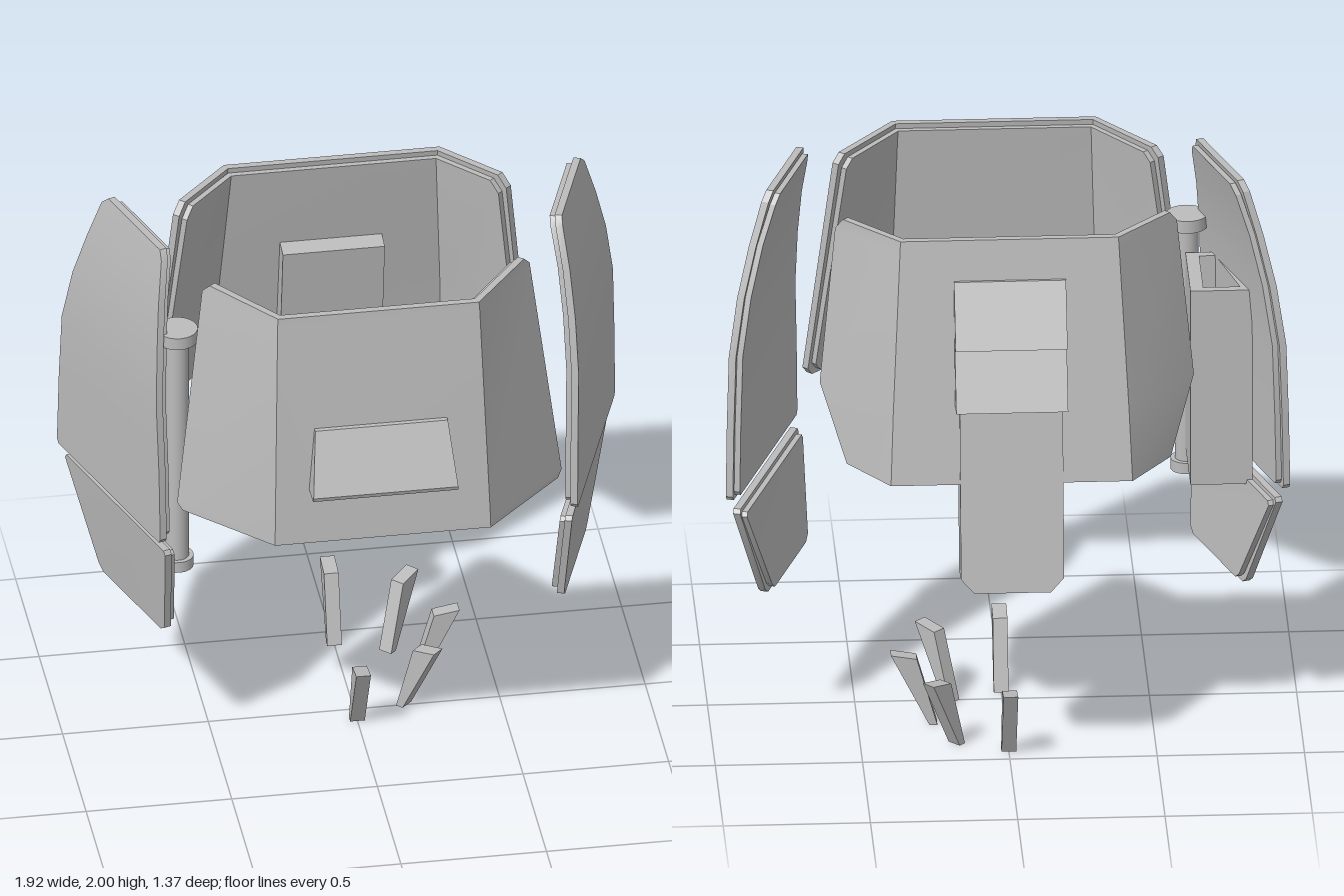
import * as THREE from 'three';
import { toCreasedNormals } from 'three/addons/utils/BufferGeometryUtils.js';

const grey = new THREE.MeshStandardMaterial({ color: 0xbcbcbc });
grey.name = 'armour grey';

function add(parent, name, geometry) {
  const mesh = new THREE.Mesh(geometry, grey);
  mesh.name = name;
  parent.add(mesh);
  return mesh;
}

// Closed solid through stacked loops; each loop runs along the outside and back along the inside
function loft(loops) {
  const pos = [];
  const quad = (a, b, c, d) => [a, b, c, a, c, d].forEach((p) => pos.push(...p));
  const n = loops[0].length;
  for (let r = 0; r < loops.length - 1; r++) {
    for (let i = 0; i < n; i++) {
      const j = (i + 1) % n;
      quad(loops[r][i], loops[r][j], loops[r + 1][j], loops[r + 1][i]);
    }
  }
  const low = loops[0], top = loops[loops.length - 1];
  for (let i = 0; i < n / 2 - 1; i++) {
    quad(top[i], top[i + 1], top[n - 2 - i], top[n - 1 - i]);
    quad(low[n - 1 - i], low[n - 2 - i], low[i + 1], low[i]);
  }
  const g = new THREE.BufferGeometry();
  g.setAttribute('position', new THREE.Float32BufferAttribute(pos, 3));
  return toCreasedNormals(g, 0.5);
}

// Pull first and last rows inwards for the smaller inner layer
const rowY = (rows, i, inset) =>
  rows[i][0] + (i < 2 ? inset : i >= rows.length - 2 ? -inset : 0);

// Three-sided plate; rows are [y, foldX, foldZ, endX, endZ]
function foldedPlate(rows, d0, d1, inset) {
  return loft(rows.map((row, i) => {
    const [, xf, zf, xe, ze] = row;
    const y = rowY(rows, i, inset);
    const w = new THREE.Vector2(xe - xf, ze - zf).normalize();
    const half = (d) => [
      [xf - 0.41 * d, y, zf - d],
      [xe - w.x * inset + w.y * d, y, ze - w.y * inset - w.x * d],
    ];
    const run = (d) => {
      const [f, e] = half(d);
      return [[-e[0], y, e[2]], [-f[0], y, f[2]], f, e];
    };
    return [...run(d0), ...run(d1).reverse()];
  }));
}

// Leaning side plate; rows are [y, frontZ, backZ, leanIn]
function sidePlate(rows, side, d0, d1, inset) {
  return loft(rows.map((row, i) => {
    const [, zf, zb, lean] = row;
    const y = rowY(rows, i, inset);
    const p = (z, d) => [side * (0.72 + (0.31 - z) * 0.345 - lean - 0.945 * d), y, z - 0.326 * d];
    const a = zf - inset, b = zb + inset;
    const loop = [p(a, d0), p(b, d0), p(b, d1), p(a, d1)];
    return side > 0 ? loop : loop.reverse();
  }));
}

const shapeOf = (pts) => new THREE.Shape(pts.map(([x, y]) => new THREE.Vector2(x, y)));
const extrude = (shape, depth) => new THREE.ExtrudeGeometry(shape, { depth, bevelEnabled: false });

// Prism with a (z, y) profile, centred across x
const prism = (pts, width) =>
  extrude(shapeOf(pts), width).rotateY(-Math.PI / 2).translate(width / 2, 0, 0);

// Upright prism with an (x, z) plan
const upright = (shape, y, height) => extrude(shape, height).rotateX(-Math.PI / 2).translate(0, y, 0);

export function createModel() {
  const model = new THREE.Group();
  model.name = 'armour set';

  // Chest and back plates, each with a smaller lining
  const chest = new THREE.Group();
  chest.name = 'chestPlate';
  const back = new THREE.Group();
  back.name = 'backPlate';
  back.rotation.y = Math.PI;
  model.add(chest, back);
  const chestRows = [
    [1.075, 0.37, 0.62, 0.645, 0.345], [1.1, 0.37, 0.618, 0.66, 0.33],
    [1.89, 0.347, 0.528, 0.562, 0.255], [1.92, 0.345, 0.525, 0.54, 0.277],
  ];
  const backRows = [
    [1.08, 0.41, 0.625, 0.55, 0.43], [1.33, 0.4, 0.58, 0.635, 0.305],
    [1.88, 0.372, 0.482, 0.58, 0.255], [1.92, 0.37, 0.475, 0.555, 0.28],
  ];
  for (const [group, rows] of [[chest, chestRows], [back, backRows]]) {
    add(group, 'outerPlate', foldedPlate(rows, 0, 0.025, 0));
    add(group, 'lining', foldedPlate(rows, 0.025, 0.045, 0.018));
  }

  // Chest block, slightly narrower at the top
  const block = prism([[0.56, 1.5], [0.59, 1.5], [0.685, 1.29], [0.68, 1.275], [0.585, 1.275]].reverse(), 0.5);
  const bp = block.attributes.position;
  for (let i = 0; i < bp.count; i++) bp.setX(i, bp.getX(i) * (1 - 0.09 * (bp.getY(i) - 1.275) / 0.225));
  block.computeVertexNormals();
  add(chest, 'chestBlock', block);

  // Spine guard: hanging bar and two wedges
  const spine = new THREE.Group();
  spine.name = 'spineGuard';
  model.add(spine);
  const bar = add(spine, 'spineBar', extrude(shapeOf([
    [-0.13, 0], [0.13, 0], [0.175, 0.05], [0.175, 0.9], [-0.175, 0.9], [-0.175, 0.05],
  ]), 0.13));
  bar.position.set(0, 0.7, -0.685);
  bar.rotation.x = 0.147;
  add(spine, 'upperWedge', prism([[-0.48, 1.78], [-0.51, 1.78], [-0.617, 1.57], [-0.5, 1.55]], 0.38));
  add(spine, 'lowerWedge', prism([[-0.51, 1.57], [-0.555, 1.57], [-0.655, 1.355], [-0.55, 1.35]], 0.38));

  // Side plates with separate lower flaps
  const lean = (y) => 0.085 * Math.max(0, (y - 1.35) / 0.65) ** 2;
  const upperRows = [
    [0.93, 0.31, -0.37], [0.945, 0.32, -0.38], [1.2, 0.312, -0.368], [1.45, 0.29, -0.352],
    [1.65, 0.262, -0.31], [1.82, 0.22, -0.265], [1.97, 0.175, -0.23], [2, 0.15, -0.2],
  ].map((r) => [...r, lean(r[0])]);
  const flapRows = [
    [0.51, 0.19, -0.2, 0.067], [0.53, 0.22, -0.225, 0.065],
    [0.875, 0.312, -0.367, 0.021], [0.89, 0.302, -0.357, 0.02],
  ];
  for (const side of [1, -1]) {
    const group = new THREE.Group();
    group.name = side > 0 ? 'leftSidePlate' : 'rightSidePlate';
    model.add(group);
    for (const [name, rows] of [['upper', upperRows], ['flap', flapRows]]) {
      add(group, name + 'Outer', sidePlate(rows, side, 0, 0.025, 0));
      add(group, name + 'Lining', sidePlate(rows, side, 0.025, 0.045, 0.015));
    }
  }

  // Open-topped pouch inside the right side plate
  const pouch = new THREE.Group();
  pouch.name = 'pouch';
  model.add(pouch);
  const plan = () => shapeOf([[-0.63, 0.18], [-0.84, 0.18], [-0.735, -0.14], [-0.63, -0.14]]);
  const walls = plan();
  walls.holes.push(new THREE.Path([
    [-0.675, 0.15], [-0.675, -0.11], [-0.73, -0.11], [-0.8, 0.15],
  ].map(([x, y]) => new THREE.Vector2(x, y))));
  add(pouch, 'pouchWalls', upright(walls, 0.9, 0.68));
  add(pouch, 'pouchFloor', upright(plan(), 0.86, 0.04));

  // Capped rod beside the pouch
  const rod = new THREE.Group();
  rod.name = 'rod';
  rod.position.set(-0.637, 0, 0.187);
  model.add(rod);
  for (const [name, radius, y0, y1] of [
    ['rodShaft', 0.04, 0.79, 1.67], ['rodTopCap', 0.07, 1.66, 1.705], ['rodBottomCap', 0.056, 0.76, 0.8],
  ]) {
    add(rod, name, new THREE.CylinderGeometry(radius, radius, y1 - y0, 24)).position.y = (y0 + y1) / 2;
  }

  // Half ring of slanted blades at the base
  const blades = new THREE.Group();
  blades.name = 'blades';
  blades.position.z = -0.18;
  model.add(blades);
  for (let i = 0; i < 5; i++) {
    const blade = add(blades, 'blade', prism([[0.23, 0], [0.257, 0], [0.388, 0.26], [0.3, 0.245]], 0.05));
    blade.rotation.y = i * Math.PI / 4;
  }
  return model;
}
